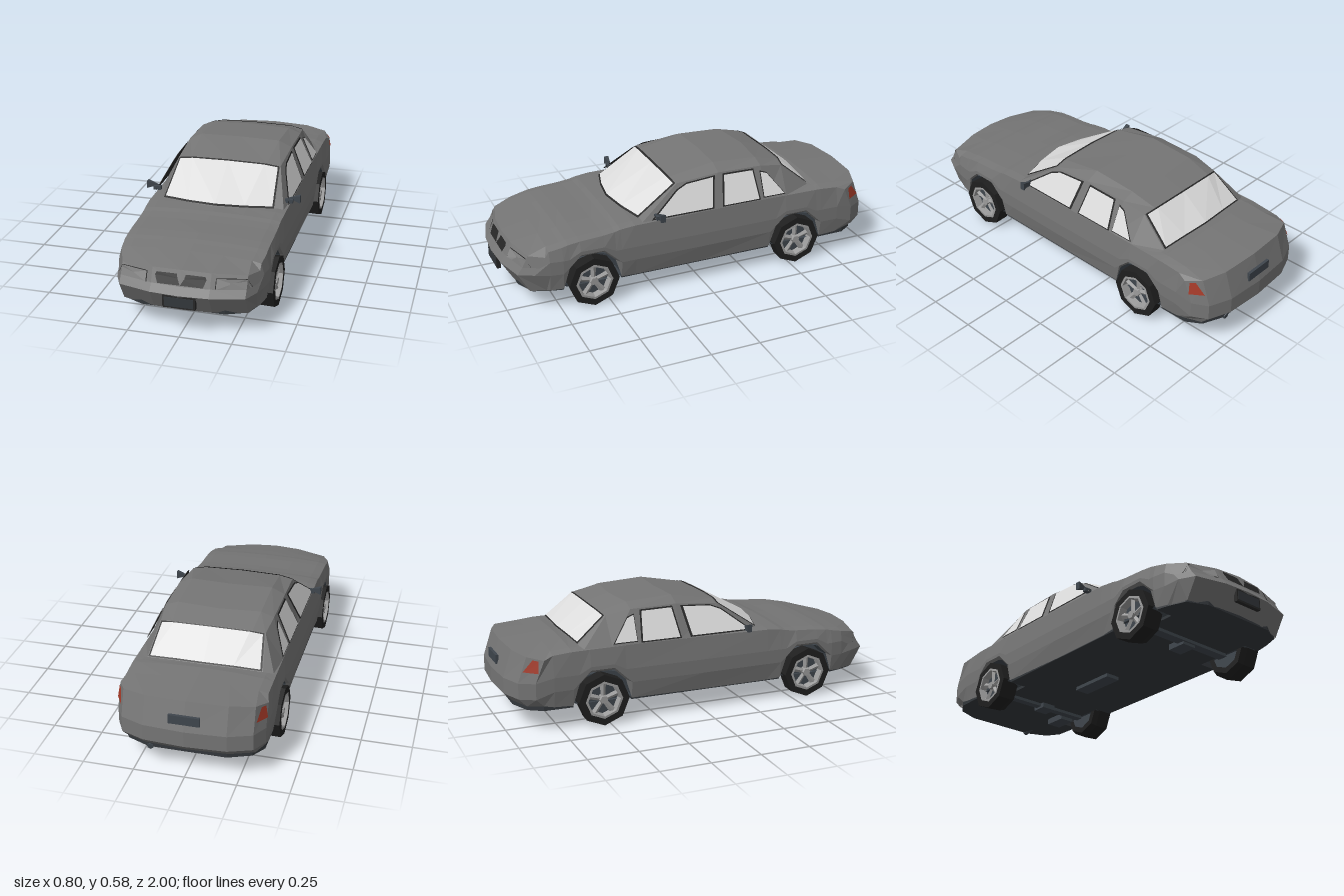
import * as THREE from 'three';

const mat = (name, color) => new THREE.MeshStandardMaterial({ name, color, side: THREE.DoubleSide });

// Faceted surface through rows of points
function grid(rows) {
  const p = [];
  for (let i = 0; i + 1 < rows.length; i++)
    for (let j = 0; j + 1 < rows[i].length; j++) {
      const a = rows[i][j], b = rows[i][j + 1], c = rows[i + 1][j + 1], d = rows[i + 1][j];
      p.push(...a, ...b, ...c, ...a, ...c, ...d);
    }
  return fromPositions(p);
}
function fromPositions(p) {
  const g = new THREE.BufferGeometry();
  g.setAttribute('position', new THREE.Float32BufferAttribute(p, 3));
  g.computeVertexNormals();
  return g;
}
// Flat polygon as a fan around its middle
function fan(pts) {
  const c = [0, 1, 2].map(k => pts.reduce((s, q) => s + q[k], 0) / pts.length);
  return fromPositions(pts.flatMap((q, i) => [...c, ...q, ...pts[(i + 1) % pts.length]]));
}
const flat = g => { const n = g.index ? g.toNonIndexed() : g; n.computeVertexNormals(); return n; };
const flip = ([x, y, z]) => [-x, y, z];
const full = half => [...half, ...half.slice(0, -1).reverse().map(flip)];
const mix = (a, b, t) => a.map((v, k) => v + (b[k] - v) * t);
const grow = (pts, s) => {
  const c = [0, 1].map(k => pts.reduce((a, q) => a + q[k], 0) / pts.length);
  return pts.map(q => q.map((v, k) => c[k] + (v - c[k]) * s));
};

// Bumper faces: rows run from the bottom up, columns from corner to middle
const endRows = (cols, rows, topY) => rows.map(([y, dz], k) =>
  cols.map(([x, z], j) => [k || j ? x : x - 0.012, k === 3 ? topY[j] : y, z + dz]));
const frontEnd = endRows([[0.337, 0.87], [0.3, 0.945], [0.14, 0.985], [0, 0.994]],
  [[0.11, -0.055], [0.21, 0.004], [0.245, -0.022], [0.3, -0.052]], [0.295, 0.302, 0.312, 0.316]);
const rearEnd = endRows([[0.357, -0.87], [0.315, -0.945], [0.2, -0.988], [0, -1]],
  [[0.13, 0.04], [0.17, 0], [0.25, 0], [0.375, 0.045]], [0.36, 0.376, 0.386, 0.39]);

// Depth of a bumper face at x, y
function endZ(rows, x, y) {
  const col = j => {
    let k = 0;
    while (k < 2 && y > rows[k + 1][j][1]) k++;
    const a = rows[k][j], b = rows[k + 1][j];
    return mix(a, b, Math.min(1, Math.max(0, (y - a[1]) / (b[1] - a[1]))));
  };
  const c = [0, 1, 2, 3].map(col), ax = Math.abs(x);
  const j = ax > c[1][0] ? 0 : ax > c[2][0] ? 1 : 2;
  return mix(c[j + 1], c[j], (ax - c[j + 1][0]) / (c[j][0] - c[j + 1][0]))[2];
}

export function createModel() {
  const car = new THREE.Group();
  car.name = 'sedan';
  const paint = mat('body grey', 0x757575), glass = mat('glass', 0xdcdcdc), slate = mat('slate trim', 0x3f464d),
    floorMat = mat('underbody', 0x33373b), rubber = mat('tyre black', 0x1f1f1f), black = mat('black trim', 0x272727),
    silver = mat('rim silver', 0x9c9c9c), red = mat('tail light red', 0xa53a28), lamp = mat('headlight grey', 0x858585);
  const add = (name, g, m, parent = car) => {
    const mesh = new THREE.Mesh(g, m);
    mesh.name = name;
    parent.add(mesh);
    return mesh;
  };
  const box = (name, w, h, d, x, y, z, m) => add(name, new THREE.BoxGeometry(w, h, d), m).position.set(x, y, z);

  // Lower body; the bottom edge rises over the wheels
  const axles = [0.585, -0.535];
  const arch = (zc, xs, ys, yc) => [[0.15, 0.115], [0.12, 0.215], [0.06, 0.272], [-0.06, 0.272], [-0.12, 0.215], [-0.15, 0.115]]
    .map(([dz, yb], i) => [zc + dz, yb, 0.35, 0.362, xs, ys[0] + (ys[1] - ys[0]) * i / 5, yc[0] + (yc[1] - yc[0]) * i / 5]);
  const stations = [
    [0.8, 0.11, 0.335, 0.352, 0.338, 0.322, 0.344],
    ...arch(axles[0], 0.345, [0.335, 0.372], [0.355, 0.388]),
    [0.36, 0.11, 0.345, 0.362, 0.348, 0.38, 0.393],
    [0, 0.11, 0.345, 0.364, 0.348, 0.385, 0.39],
    ...arch(axles[1], 0.347, [0.387, 0.384], [0.39, 0.41]),
    [-0.78, 0.12, 0.35, 0.363, 0.345, 0.376, 0.403],
  ];
  const ring = ([z, yb, x0, x1, xs, ys, yc]) => [
    [x0, yb, z], [x1, Math.max(0.2, yb + 0.012), z], [x1, Math.max(0.27, yb + 0.03), z], [xs, ys, z],
    [xs - 0.045, ys + (yc - ys) * 0.45, z], [0.16, ys + (yc - ys) * 0.85, z], [0, yc, z]];
  const endRing = rows => [rows[0][0], rows[1][0], rows[2][0], ...rows[3]];
  add('lower body', grid([endRing(frontEnd), ...stations.map(ring), endRing(rearEnd)].map(full)), paint);
  add('front bumper', grid(frontEnd.map(full)), paint);
  add('rear bumper', grid(rearEnd.map(full)), paint);

  // Cabin: belt, roof rail, roof edge and middle at each row
  const cabin = [
    [[0.335, 0.378, 0.32], [0.29, 0.383, 0.32], [0.15, 0.389, 0.36], [0, 0.394, 0.385]],
    [[0.347, 0.384, 0.1], [0.269, 0.527, 0.105], [0.2, 0.538, 0.11], [0, 0.542, 0.112]],
    [[0.347, 0.386, -0.12], [0.277, 0.55, -0.12], [0.21, 0.581, -0.12], [0, 0.581, -0.13]],
    [[0.347, 0.387, -0.36], [0.275, 0.545, -0.36], [0.21, 0.568, -0.36], [0, 0.569, -0.38]],
    [[0.346, 0.387, -0.48], [0.262, 0.522, -0.485], [0.2, 0.533, -0.495], [0, 0.536, -0.498]],
    [[0.335, 0.385, -0.62], [0.285, 0.398, -0.635], [0.15, 0.406, -0.645], [0, 0.411, -0.655]],
  ];
  add('cabin', grid(cabin.map(full)), paint);

  // Windscreens, inset on the cabin slopes with a dark surround
  const screen = (name, top, base, nz) => {
    [[0.985, 0.01, 0.004, black, ' seal'], [0.955, 0.045, 0.008, glass, '']].forEach(([s, t, off, m, tag]) => {
      const row = k => full(cabin[base].slice(1).map((b, j) => {
        const q = mix(b, cabin[top][j + 1], k);
        return [q[0] * s, q[1] + off * 0.7, q[2] + nz * off * 0.7];
      }));
      add(name + tag, grid([row(t), row(1 - t)]), m);
    });
  };
  screen('windscreen', 1, 0, 1);
  screen('rear screen', 4, 5, -1);

  // Side windows, given as z and y
  const windows = {
    'front window': [[0.26, 0.395], [0.115, 0.505], [0.06, 0.527], [-0.09, 0.537], [-0.062, 0.395]],
    'rear window': [[-0.122, 0.395], [-0.146, 0.538], [-0.31, 0.536], [-0.325, 0.395]],
    'quarter window': [[-0.35, 0.4], [-0.35, 0.522], [-0.385, 0.51], [-0.47, 0.4]],
  };
  const sideX = y => 0.348 - (y - 0.385) * 0.445;
  for (const [name, pts] of Object.entries(windows))
    for (const s of [1, -1]) {
      const plate = (k, off) => fan(grow(pts, k).map(([z, y]) => [s * (sideX(y) + off), y, z]));
      add(name + ' seal', plate(1.06, 0.003), black);
      add(name, plate(0.97, 0.006), glass);
    }

  // Details laid on the bumper faces
  const decal = (name, rows, pts, off, m) =>
    add(name, fan(pts.map(([x, y]) => [x, y, endZ(rows, x, y) + off])), m);
  decal('grille', frontEnd, [[-0.122, 0.285], [-0.115, 0.298], [0.115, 0.298], [0.122, 0.285], [0.108, 0.25], [-0.108, 0.25]], 0.007, black);
  box('front plate frame', 0.156, 0.062, 0.02, 0, 0.175, 0.983, black);
  box('front plate', 0.138, 0.046, 0.006, 0, 0.175, 0.993, floorMat);
  box('rear plate', 0.15, 0.045, 0.014, 0, 0.305, -0.984, slate);
  for (const s of [1, -1]) {
    const lampShape = [[0.165, 0.292], [0.295, 0.29], [0.318, 0.245], [0.165, 0.246]].map(([x, y]) => [s * x, y]);
    decal('headlight surround', frontEnd, grow(lampShape, 1.04), 0.004, black);
    decal('headlight', frontEnd, grow(lampShape, 0.98), 0.007, lamp);
    const [a, b, c, d] = [rearEnd[2][0], rearEnd[2][1], rearEnd[3][1], rearEnd[3][0]];
    const at = (u, v) => {
      const q = mix(mix(a, b, u), mix(d, c, v > 0 ? u : 0), v);
      return [s * (q[0] + 0.005), q[1], q[2] - 0.004];
    };
    add('tail light', fan([at(0.02, 0.45), at(0.25, 0.95), at(0.6, 0.95), at(0.92, 0.45)]), red);

    // Door mirrors
    const mirror = new THREE.ConeGeometry(0.03, 0.065, 4).rotateY(Math.PI / 4).rotateZ(s * Math.PI / 2).scale(1, 0.95, 0.6);
    add('door mirror', flat(mirror), slate).position.set(s * 0.3675, 0.414, 0.232);
    box('mirror stalk', 0.04, 0.02, 0.02, s * 0.345, 0.402, 0.24, slate);
  }

  // Floor with wheel cut-outs
  const halfFloor = [[0.2, 0.925], [0.3, 0.88], [0.33, 0.8], [0.345, 0.735], [0.25, 0.735], [0.25, 0.435], [0.345, 0.435],
    [0.345, -0.385], [0.25, -0.385], [0.25, -0.685], [0.348, -0.685], [0.345, -0.83], [0.3, -0.9], [0.19, -0.945]];
  const outline = [...halfFloor, ...halfFloor.slice().reverse().map(([x, z]) => [-x, z])];
  const floor = new THREE.ExtrudeGeometry(new THREE.Shape(outline.map(([x, z]) => new THREE.Vector2(x, z))), { depth: 0.025, bevelEnabled: false });
  add('floor', flat(floor.rotateX(Math.PI / 2)), floorMat).position.y = 0.131;
  box('silencer', 0.08, 0.02, 0.25, 0, 0.098, -0.085, slate);
  box('front crossmember', 0.5, 0.02, 0.05, 0, 0.1, axles[0], slate);
  box('gearbox', 0.08, 0.035, 0.1, 0, 0.094, 0.55, slate);
  box('rear axle', 0.5, 0.02, 0.04, 0, 0.1, axles[1], slate);
  box('differential', 0.08, 0.03, 0.08, 0, 0.094, axles[1], slate);
  box('rear silencer', 0.08, 0.04, 0.12, 0.18, 0.095, -0.62, slate);
  const pipe = new THREE.CylinderGeometry(0.012, 0.016, 0.12, 6).rotateX(Math.PI / 2 - 0.15);
  add('tail pipe', flat(pipe), slate).position.set(0.18, 0.117, -0.89);

  // Wheels and wells, built for the left side and turned for the right
  const tyreProfile = [[0.085, 0.27], [0.115, 0.27], [0.128, 0.3], [0.13, 0.375], [0.095, 0.375], [0.088, 0.335]];
  const tyre = flat(new THREE.LatheGeometry(tyreProfile.map(p => new THREE.Vector2(...p)), 8).rotateZ(-Math.PI / 2));
  const lip = flat(new THREE.LatheGeometry([[0.096, 0.3755], [0.084, 0.3765], [0.078, 0.34]].map(p => new THREE.Vector2(...p)), 8).rotateZ(-Math.PI / 2));
  const disc = (r, x) => new THREE.CircleGeometry(r, 8).rotateY(Math.PI / 2).translate(x, 0, 0);
  const well = flat(new THREE.CylinderGeometry(0.15, 0.15, 0.1, 12, 1, true).rotateZ(Math.PI / 2).translate(0.3, 0, 0));
  const wellPos = well.attributes.position;
  for (let i = 0; i < wellPos.count; i++) wellPos.setY(i, Math.max(-0.01, wellPos.getY(i)));
  for (const z of axles)
    for (const s of [1, -1]) {
      const wheel = new THREE.Group();
      wheel.name = 'wheel';
      wheel.position.set(0, 0.13, z);
      wheel.rotation.y = s > 0 ? 0 : Math.PI;
      car.add(wheel);
      add('tyre', tyre, rubber, wheel);
      add('rim', lip, silver, wheel);
      add('brake disc', disc(0.09, 0.335), slate, wheel);
      add('wheel back', disc(0.1, 0.285), slate, wheel);
      for (let i = 0; i < 5; i++) {
        const spoke = new THREE.CylinderGeometry(0.016, 0.011, 0.08, 4).scale(0.7, 1, 1).translate(0, 0.042, 0);
        add('spoke', flat(spoke.rotateX(i * Math.PI * 0.4)), silver, wheel).position.x = 0.352;
      }
      add('hub', flat(new THREE.CylinderGeometry(0.02, 0.026, 0.03, 6).rotateZ(-Math.PI / 2)), silver, wheel).position.x = 0.355;
      add('wheel well', well, slate, wheel);
      const wall = new THREE.CircleGeometry(0.15, 12, 0, Math.PI).rotateY(Math.PI / 2);
      add('well wall', wall, slate, wheel).position.x = 0.25;
    }
  return car;
}
